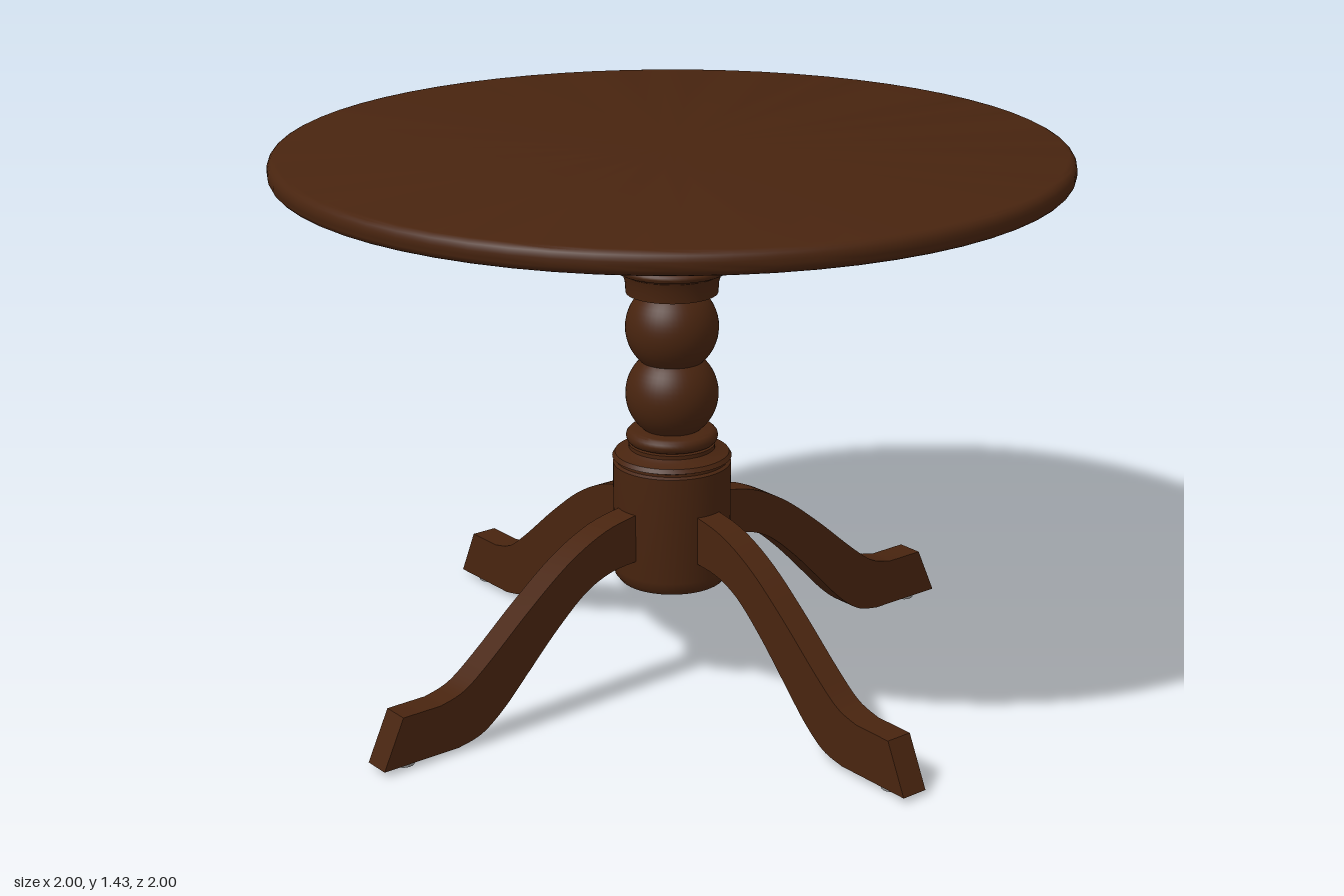
import * as THREE from 'three';
import { toCreasedNormals } from 'three/addons/utils/BufferGeometryUtils.js';

const wood = new THREE.MeshStandardMaterial({ color: 0x48240f });
wood.name = 'dark wood';
const metal = new THREE.MeshStandardMaterial({ color: 0x8c8c8c });
metal.name = 'grey metal';

const mesh = (name, geometry, material) => {
  const m = new THREE.Mesh(geometry, material);
  m.name = name;
  return m;
};

// Turned part from [radius, height] pairs, listed bottom to top
const turned = (name, points, segments = 48) => mesh(name, toCreasedNormals(
  new THREE.LatheGeometry(points.map(([r, y]) => new THREE.Vector2(r, y)), segments), 0.6), wood);

// Arc of profile points, angles in degrees
const arc = (r, y, radius, from, to, steps) => Array.from({ length: steps + 1 }, (_, i) => {
  const a = THREE.MathUtils.degToRad(from + (to - from) * i / steps);
  return [r + radius * Math.cos(a), y + radius * Math.sin(a)];
});

function legGeometry() {
  const width = 0.072;
  const v = (x, y) => new THREE.Vector2(x, y);
  const s = new THREE.Shape();
  s.moveTo(0.1, 0.375);
  s.lineTo(0.15, 0.37);
  // underside, down to the foot
  s.splineThru([v(0.23, 0.36), v(0.31, 0.325), v(0.4, 0.25), v(0.49, 0.16), v(0.57, 0.08), v(0.64, 0.03), v(0.71, 0.013)]);
  s.lineTo(0.93, 0.013);
  // sloping toe and flat top of the foot
  s.lineTo(0.87, 0.142);
  s.lineTo(0.76, 0.142);
  // upper side, back up to the column
  s.splineThru([v(0.69, 0.162), v(0.61, 0.22), v(0.48, 0.33), v(0.36, 0.42), v(0.25, 0.475), v(0.15, 0.497), v(0.1, 0.5)]);
  s.closePath();
  const g = new THREE.ExtrudeGeometry(s, { depth: width, bevelEnabled: false, curveSegments: 4 });
  g.translate(0, 0, -width / 2);
  return toCreasedNormals(g, 0.5);
}

export function createModel() {
  const model = new THREE.Group();
  model.name = 'pedestalTable';

  // Round top with a rounded rim, and the plate under it
  model.add(turned('tableTop', [
    [0, 1.375], ...arc(0.975, 1.4, 0.025, -90, 0, 5), ...arc(0.975, 1.41, 0.025, 0, 90, 5), [0, 1.435],
  ], 64));
  model.add(turned('mountingPlate', [[0, 1.345], [0.307, 1.345], [0.307, 1.38], [0, 1.38]]));

  // Turned column: block, rings, two balls, collar with beads
  model.add(turned('columnBase', [
    [0, 0.285], [0.138, 0.285], [0.15, 0.3], [0.153, 0.32], [0.153, 0.605], [0.145, 0.61],
    [0.145, 0.617], [0.155, 0.621], [0.148, 0.632], [0.125, 0.638], [0.112, 0.645], [0.112, 0.655],
    ...arc(0.1, 0.676, 0.019, -80, 80, 6), [0.07, 0.697],
  ]));
  model.add(turned('lowerBall', arc(0, 0.79, 0.12, -55, 55, 16)));
  model.add(turned('upperBall', arc(0, 0.967, 0.12, -55, 55, 16)));
  model.add(turned('columnCollar', [
    [0.06, 1.06], [0.118, 1.06], [0.12, 1.09], [0.127, 1.112], [0.14, 1.122],
    ...arc(0.14, 1.13, 0.011, -70, 90, 5), [0.145, 1.147],
    ...arc(0.148, 1.166, 0.018, -80, 80, 6), [0.155, 1.19], [0.155, 1.35],
  ]));

  // Four curved legs, each with a metal glide under the foot
  const leg = legGeometry();
  const glide = new THREE.CylinderGeometry(0.026, 0.026, 0.014, 20);
  const bolt = new THREE.CylinderGeometry(0.024, 0.018, 0.014, 12);
  const boltHead = new THREE.CylinderGeometry(0.012, 0.012, 0.012, 6);
  for (let i = 0; i < 4; i++) {
    const unit = new THREE.Group();
    unit.name = 'leg' + (i + 1);
    unit.rotation.y = THREE.MathUtils.degToRad(-53 + i * 90);
    const foot = mesh('footGlide', glide, metal);
    foot.position.set(0.85, 0.007, 0);
    unit.add(mesh('curvedLeg', leg, wood), foot);
    model.add(unit);

    // Bolt under the mounting plate
    const fixing = new THREE.Group();
    fixing.name = 'plateBolt' + (i + 1);
    const a = THREE.MathUtils.degToRad(40 + i * 90);
    fixing.position.set(0.25 * Math.cos(a), 1.34, 0.25 * Math.sin(a));
    const head = mesh('boltHead', boltHead, metal);
    head.position.y = -0.01;
    fixing.add(mesh('boltWasher', bolt, metal), head);
    model.add(fixing);
  }
  return model;
}
